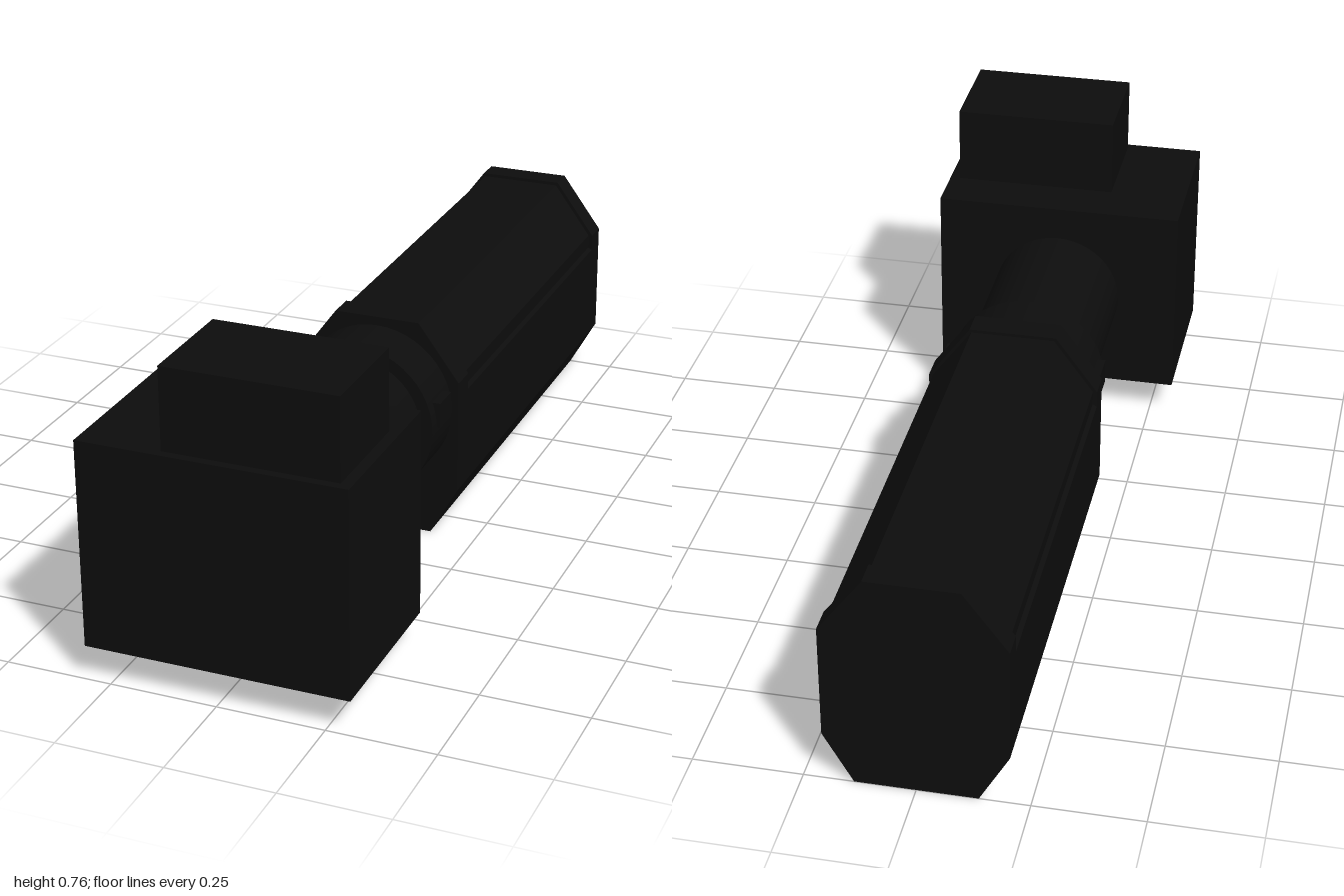
import * as THREE from 'three';

const black = new THREE.MeshStandardMaterial({ color: 0x0d0d0d });
black.name = 'black';

export function createModel() {
  const model = new THREE.Group();
  model.name = 'weaponLight';

  const add = (name, geometry, x, y, z) => {
    const mesh = new THREE.Mesh(geometry, black);
    mesh.name = name;
    mesh.position.set(x, y, z);
    model.add(mesh);
    return mesh;
  };
  // Box given by its limits on each axis
  const box = (name, x0, x1, y0, y1, z0, z1) =>
    add(name, new THREE.BoxGeometry(x1 - x0, y1 - y0, z1 - z0),
      (x0 + x1) / 2, (y0 + y1) / 2, (z0 + z1) / 2);
  // Round bar running along z
  const bar = (name, radius, z0, z1) =>
    add(name, new THREE.CylinderGeometry(radius, radius, z1 - z0, 48).rotateX(Math.PI / 2),
      0, 0.327, (z0 + z1) / 2);
  // Mirrored profile (right half, bottom to top) extruded along z
  const prism = (name, half, z0, z1) => {
    const mirrored = half.map(([x, y]) => [-x, y]).reverse();
    const shape = new THREE.Shape([...half, ...mirrored].map(([x, y]) => new THREE.Vector2(x, y)));
    add(name, new THREE.ExtrudeGeometry(shape, { depth: z1 - z0, bevelEnabled: false }), 0, 0, z0);
  };

  // Head block with the offset block on top
  box('headBlock', -0.308, 0.307, 0.082, 0.57, 0.6, 1);
  box('topBlock', -0.117, 0.282, 0.57, 0.761, 0.72, 0.98);

  // Neck and collar
  bar('neck', 0.16, 0.2, 0.61);
  bar('collar', 0.189, 0.08, 0.218);
  for (const side of [-1, 1]) {
    const x = side * 0.185;
    box('collarTab', x - 0.012, x + 0.012, 0.33, 0.39, 0.12, 0.19);
  }

  // Eight-sided body: raised rims at both ends, recessed upper shell between
  const lower = [[0.137, 0], [0.205, 0.122]];
  const rim = [...lower, [0.205, 0.4], [0.104, 0.537]];
  const recessed = [...lower, [0.205, 0.36], [0.195, 0.365], [0.195, 0.4], [0.1, 0.529]];
  prism('rearRim', rim, -1, -0.94);
  prism('body', recessed, -0.94, 0.025);
  prism('frontRim', rim, 0.025, 0.09);

  return model;
}
